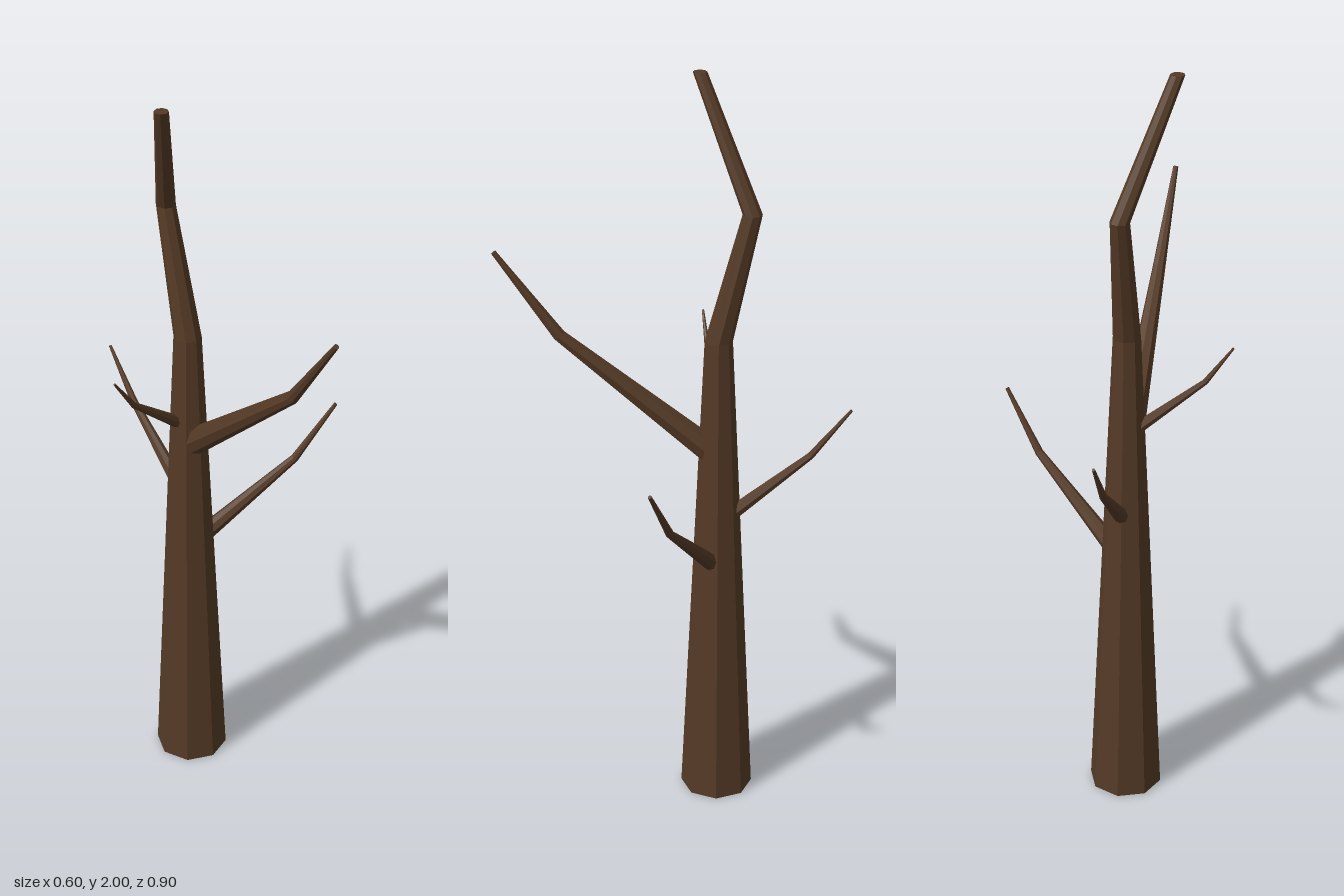
import * as THREE from 'three';

const SIDES = 8;
const bark = new THREE.MeshStandardMaterial({ color: 0x553a26, flatShading: true });

// Tapered limb along a bent path of [x, y, z, radius]; level keeps every ring horizontal.
function limb(name, path, { level = false, twist = 0 } = {}) {
  const points = path.map(([x, y, z]) => new THREE.Vector3(x, y, z));
  const position = [], index = [];
  points.forEach((p, i) => {
    // Ring normal: the mitre direction between neighbouring segments
    const t = new THREE.Vector3(0, 1, 0);
    if (!level) {
      t.set(0, 0, 0);
      if (i > 0) t.add(p.clone().sub(points[i - 1]).normalize());
      if (i < points.length - 1) t.add(points[i + 1].clone().sub(p).normalize());
      t.normalize();
    }
    const u = level
      ? new THREE.Vector3(1, 0, 0)
      : new THREE.Vector3(0, 1, 0).cross(t).normalize();
    const v = t.clone().cross(u);
    for (let j = 0; j < SIDES; j++) {
      const a = twist + (j / SIDES) * Math.PI * 2;
      const q = p.clone()
        .addScaledVector(u, Math.cos(a) * path[i][3])
        .addScaledVector(v, Math.sin(a) * path[i][3]);
      position.push(q.x, q.y, q.z);
    }
  });
  // Side walls
  const last = points.length - 1;
  for (let i = 0; i < last; i++) {
    for (let j = 0; j < SIDES; j++) {
      const a = i * SIDES + j, b = i * SIDES + ((j + 1) % SIDES);
      index.push(a, b, a + SIDES, b, b + SIDES, a + SIDES);
    }
  }
  // End caps
  for (let j = 1; j < SIDES - 1; j++) {
    const top = last * SIDES;
    index.push(0, j + 1, j, top, top + j, top + j + 1);
  }
  const indexed = new THREE.BufferGeometry();
  indexed.setAttribute('position', new THREE.Float32BufferAttribute(position, 3));
  indexed.setIndex(index);
  const geometry = indexed.toNonIndexed();
  geometry.computeVertexNormals();
  const mesh = new THREE.Mesh(geometry, bark);
  mesh.name = name;
  return mesh;
}

export function createModel() {
  const tree = new THREE.Group();
  tree.name = 'bareTree';

  // Trunk with a crooked top
  tree.add(limb('trunk', [
    [-0.033, 0, -0.113, 0.097],
    [-0.034, 1.33, -0.11, 0.036],
    [-0.021, 1.67, -0.19, 0.025],
    [-0.15, 2, -0.077, 0.018],
  ], { level: true, twist: -0.164 }));

  // Branches start inside the trunk and bend upward once
  const branches = {
    frontBranch: [[-0.035, 1.005, -0.11, 0.037], [-0.095, 1.345, 0.29, 0.017], [-0.13, 1.565, 0.447, 0.007]],
    leftBranch: [[-0.035, 0.675, -0.113, 0.026], [0.205, 0.912, 0.05, 0.011], [0.293, 1.067, 0.113, 0.005]],
    backBranch: [[-0.03, 0.81, -0.113, 0.022], [0.01, 1.01, -0.347, 0.01], [0.026, 1.14, -0.448, 0.004]],
    rightBranch: [[-0.035, 1.06, -0.118, 0.018], [-0.23, 1.215, -0.114, 0.008], [-0.298, 1.308, -0.111, 0.003]],
  };
  for (const [name, path] of Object.entries(branches)) tree.add(limb(name, path));

  return tree;
}
